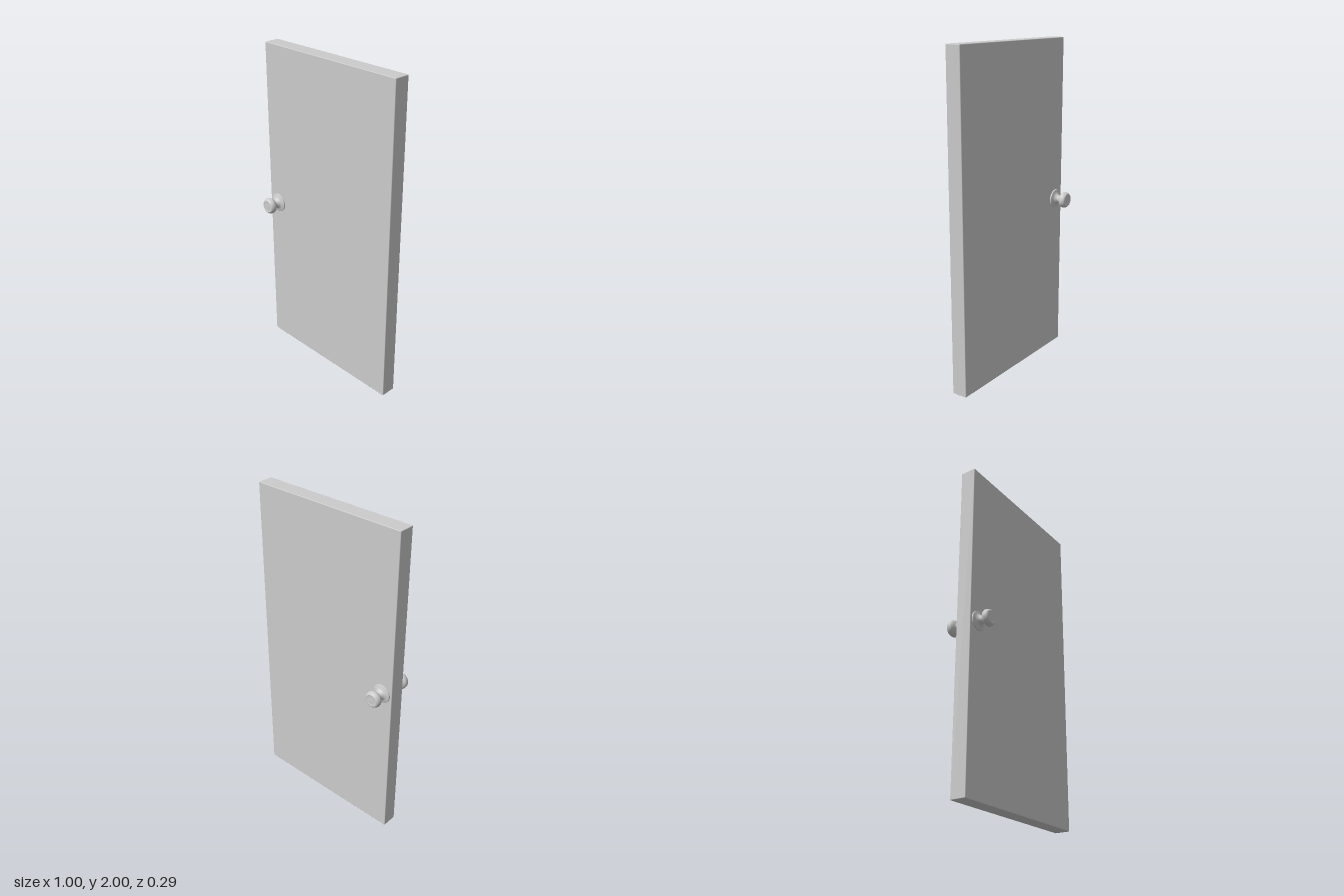
import * as THREE from 'three';
import { RoundedBoxGeometry } from 'three/addons/geometries/RoundedBoxGeometry.js';

const material = new THREE.MeshStandardMaterial({ color: 0xcccccc });
const HALF_DEPTH = 0.048;

// Turned part from [radius, distance from the door face] points, axis along +z
function turned(name, points) {
  const geometry = new THREE.LatheGeometry(points.map(([r, d]) => new THREE.Vector2(r, d)), 40);
  geometry.rotateX(Math.PI / 2);
  const mesh = new THREE.Mesh(geometry, material);
  mesh.name = name;
  return mesh;
}

function createKnob(name) {
  const knob = new THREE.Group();
  knob.name = name;

  // Round backplate against the door
  knob.add(turned('backplate', [
    [0.058, -0.002], [0.058, 0.005], [0.056, 0.008], [0.05, 0.009],
  ]));

  // Flared neck swelling into the grip
  const curve = new THREE.SplineCurve([
    [0.05, 0.009], [0.037, 0.014], [0.028, 0.022], [0.022, 0.034], [0.025, 0.043],
    [0.039, 0.052], [0.048, 0.062], [0.05, 0.072], [0.048, 0.082], [0.043, 0.091], [0.036, 0.095],
  ].map(([r, d]) => new THREE.Vector2(r, d)));
  knob.add(turned('neckAndGrip', curve.getPoints(40).map((p) => [p.x, p.y])));

  // Flat end cap with a shallow button in the middle
  knob.add(turned('endCap', [
    [0.036, 0.095], [0.032, 0.095], [0.03, 0.093], [0.016, 0.093], [0.014, 0.094], [0, 0.094],
  ]));
  return knob;
}

export function createModel() {
  const model = new THREE.Group();
  model.name = 'door';

  // Plain slab with slightly eased edges
  const slab = new THREE.Mesh(new RoundedBoxGeometry(1, 2, HALF_DEPTH * 2, 2, 0.004), material);
  slab.name = 'slab';
  slab.position.y = 1;
  model.add(slab);

  // Matching knobs on both faces
  for (const side of [1, -1]) {
    const knob = createKnob(side > 0 ? 'frontKnob' : 'backKnob');
    knob.position.set(-0.429, 0.997, side * HALF_DEPTH);
    if (side < 0) knob.rotation.y = Math.PI;
    model.add(knob);
  }
  return model;
}
